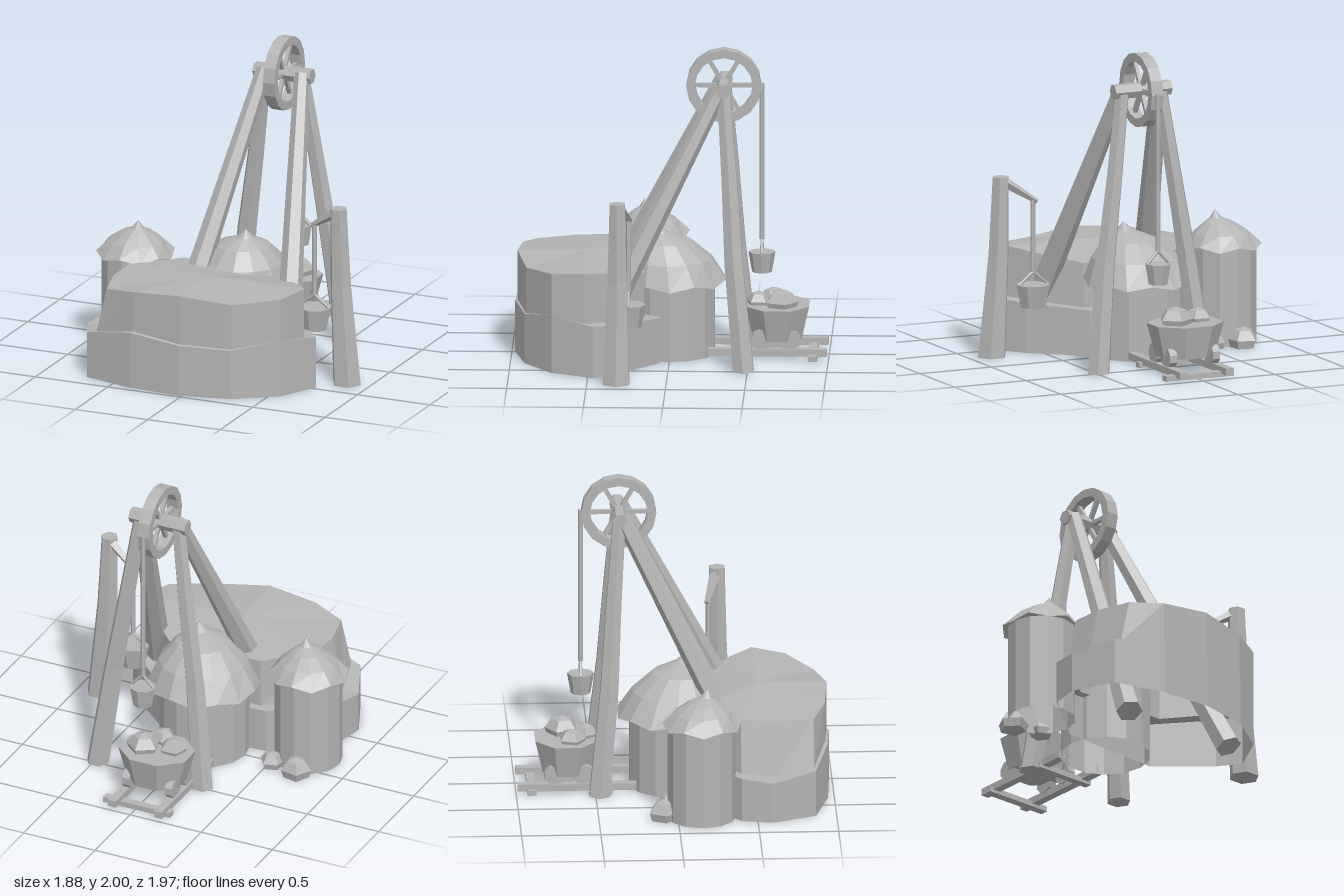
import * as THREE from 'three';

const stone = new THREE.MeshStandardMaterial({ color: 0xb4b4b4, flatShading: true, side: THREE.DoubleSide });
stone.name = 'plain grey';

const V = (x, y, z) => new THREE.Vector3(x, y, z);

// Joins rings of points, listed from bottom to top, into one faceted skin
function loft(rings, bottom = true, top = true) {
  const pos = [];
  const tri = (...p) => p.forEach(q => pos.push(q.x, q.y, q.z));
  const mid = r => r.reduce((s, p) => s.add(p), V(0, 0, 0)).divideScalar(r.length);
  const n = rings[0].length;
  for (let k = 0; k < rings.length - 1; k++) {
    const a = rings[k], b = rings[k + 1];
    for (let i = 0; i < n; i++) {
      const j = (i + 1) % n;
      tri(a[i], b[i], a[j]);
      tri(a[j], b[i], b[j]);
    }
  }
  const lo = rings[0], hi = rings[rings.length - 1];
  for (let i = 0; i < n; i++) {
    const j = (i + 1) % n;
    if (bottom) tri(mid(lo), lo[i], lo[j]);
    if (top) tri(mid(hi), hi[j], hi[i]);
  }
  const g = new THREE.BufferGeometry();
  g.setAttribute('position', new THREE.Float32BufferAttribute(pos, 3));
  g.computeVertexNormals();
  return g;
}

// Horizontal ring with n corners
function ring(x, y, z, r, n, turn = 0) {
  return Array.from({ length: n }, (_, i) => {
    const a = (i / n) * Math.PI * 2 + turn;
    return V(x + r * Math.cos(a), y, z + r * Math.sin(a));
  });
}

export function createModel() {
  const model = new THREE.Group();
  model.name = 'mine';

  const add = (name, geo, x = 0, y = 0, z = 0) => {
    const m = new THREE.Mesh(geo, stone);
    m.name = name;
    m.position.set(x, y, z);
    model.add(m);
    return m;
  };
  // Straight bar between two points
  const bar = (name, a, b, ra, rb = ra, sides = 6) => {
    const d = b.clone().sub(a);
    const m = add(name, new THREE.CylinderGeometry(rb, ra, d.length(), sides));
    m.position.copy(a).add(b).multiplyScalar(0.5);
    m.quaternion.setFromUnitVectors(V(0, 1, 0), d.normalize());
  };
  // Bent post through [x, y, z, radius] sections
  const post = (name, secs, n = 6) => add(name, loft(secs.map(s => ring(...s, n))));

  // Hollow cliff in two tiers with a narrow ledge; outlines are [x, z, rim height]
  const low = [[0.7, 0.47, 0.33], [0.57, 0.73, 0.37], [0.31, 0.91, 0.32], [-0.02, 0.98, 0.33],
    [-0.36, 0.96, 0.365], [-0.7, 0.87, 0.3], [-0.82, 0.6, 0.26], [-0.78, 0.4, 0.28],
    [-0.42, 0.1, 0.29], [0.28, 0.06, 0.29], [0.6, 0.33, 0.32]];
  const high = [[0.64, 0.52, 0.66], [0.57, 0.73, 0.64], [0.31, 0.9, 0.62], [-0.02, 0.965, 0.655],
    [-0.35, 0.94, 0.63], [-0.57, 0.86, 0.6], [-0.63, 0.62, 0.61], [-0.62, 0.4, 0.62],
    [-0.36, 0.14, 0.62], [0.28, 0.155, 0.58], [0.54, 0.38, 0.635]];
  const rimOf = outline => outline.map(([x, z, y]) => V(x, y, z));
  const flare = x => (x < -0.5 ? 0.07 : 0);
  const ledge = high.map(([x, z], i) => V(x - flare(x), low[i][2] + 0.005, z));
  add('lowerCliff', loft([low.map(([x, z]) => V(x, 0, z)), rimOf(low), ledge], false, false));
  add('upperCliff', loft([ledge, rimOf(high)], false, false));
  // Top surface fans out from a low crown
  const crown = V(-0.03, 0.66, 0.52);
  add('cliffTop', loft([rimOf(high), high.map(() => crown)], false, false));

  // Round open huts with crooked pointed roofs and notched eaves
  const hut = (name, x, z, wallR, wallTop, roof, n) => {
    add(name + 'Wall', loft([ring(x, 0, z, wallR, n), ring(x, wallTop, z, wallR, n)], false, false));
    const rings = roof.map(r => ring(...r, n));
    rings[0].forEach((p, i) => { p.y += (i % 2) * 0.03; });
    add(name + 'Roof', loft(rings, false, false));
  };
  hut('mainHut', -0.035, 0, 0.285, 0.52, [
    [-0.035, 0.46, -0.005, 0.355], [-0.015, 0.62, 0.015, 0.28],
    [0.0, 0.73, 0.04, 0.175], [0.03, 0.79, 0.065, 0.055], [0.04, 0.84, 0.075, 0.003]], 14);
  hut('sideHut', -0.69, 0.15, 0.215, 0.625, [
    [-0.69, 0.605, 0.15, 0.25], [-0.685, 0.7, 0.155, 0.18],
    [-0.675, 0.76, 0.165, 0.1], [-0.66, 0.79, 0.18, 0.04], [-0.655, 0.84, 0.185, 0.003]], 12);

  // Headframe legs, mirrored about its own middle
  const cx = 0.115, axleY = 1.765, axleZ = -0.34;
  for (const s of [-1, 1]) {
    bar('frontLeg', V(cx + s * 0.41, 0.04, 0.54), V(cx + s * 0.13, 1.78, axleZ + 0.01), 0.085, 0.05);
    post('backLeg', [[cx + s * 0.365, 0, -0.475, 0.075], [cx + s * 0.285, 0.68, -0.41, 0.065],
      [cx + s * 0.21, 1.2, -0.38, 0.055], [cx + s * 0.13, 1.78, axleZ, 0.045]]);
  }
  bar('axle', V(cx - 0.197, axleY, axleZ), V(cx + 0.197, axleY, axleZ), 0.05);

  // Winding wheel
  const rim = new THREE.Shape().absarc(0, 0, 0.237, 0, Math.PI * 2);
  rim.holes.push(new THREE.Path().absarc(0, 0, 0.182, 0, Math.PI * 2, true));
  const rimGeo = new THREE.ExtrudeGeometry(rim, { depth: 0.08, bevelEnabled: false, curveSegments: 8 });
  rimGeo.translate(0, 0, -0.04).rotateY(Math.PI / 2);
  add('wheelRim', rimGeo, cx, axleY, axleZ);
  for (let i = 0; i < 3; i++) {
    const spoke = add('wheelSpoke', new THREE.BoxGeometry(0.026, 0.026, 0.39), cx, axleY, axleZ);
    spoke.rotation.x = (i * Math.PI) / 3;
  }

  // Hanging buckets with two slanted handles
  const bucket = (x, y, z, r, h, ropeTop) => {
    add('bucket', new THREE.CylinderGeometry(r, r * 0.74, h, 8), x, y + h / 2, z);
    const knot = V(x, y + h + 0.08, z);
    bar('rope', knot, V(x, ropeTop, z), 0.016);
    for (const s of [-1, 1]) bar('bucketHandle', V(x + s * r * 0.9, y + h, z), knot, 0.01);
  };
  bucket(cx, 0.56, -0.58, 0.085, 0.13, 1.78);
  bucket(0.59, 0.31, 0.245, 0.11, 0.145, 1.0);

  // Small crane beside the cliff
  post('cranePost', [[0.845, 0, 0.315, 0.095], [0.8, 0.65, 0.31, 0.07], [0.785, 1.15, 0.31, 0.055]]);
  bar('craneArm', V(0.565, 0.985, 0.235), V(0.77, 1.12, 0.3), 0.016, 0.035, 4);

  // Rails and sleepers
  for (const x of [-0.19, 0.13]) add('rail', new THREE.BoxGeometry(0.055, 0.045, 0.75), x, 0.042, -0.615);
  add('sleeper', new THREE.BoxGeometry(0.47, 0.035, 0.055), -0.01, 0.018, -0.9);
  add('sleeper', new THREE.BoxGeometry(0.42, 0.035, 0.05), -0.03, 0.018, -0.42);

  // Ore cart
  const tub = new THREE.CylinderGeometry(0.24, 0.185, 0.21, 8);
  tub.rotateY(Math.PI / 8).scale(1.04, 1, 0.9);
  add('cartTub', tub, -0.03, 0.215, -0.675);
  for (const x of [-0.18, 0.12]) for (const z of [-0.755, -0.575]) {
    const w = new THREE.CylinderGeometry(0.068, 0.068, 0.05, 9).rotateZ(Math.PI / 2);
    add('cartWheel', w, x, 0.118, z);
  }

  // Faceted ore lumps: [x, base, z, radius, height, turn]
  const lumps = [[-0.13, 0.3, -0.645, 0.09, 0.1, 0.3], [0.05, 0.3, -0.7, 0.11, 0.13, 1],
    [-0.02, 0.3, -0.555, 0.08, 0.1, 1.9], [-0.72, 0, -0.09, 0.1, 0.13, 0.5], [-0.53, 0, -0.045, 0.08, 0.1, 1.3]];
  for (const [x, y, z, r, h, t] of lumps) {
    add('oreLump', loft([ring(x, y, z, r * 0.85, 5, t), ring(x, y + h * 0.4, z, r, 5, t),
      ring(x, y + h * 0.85, z, r * 0.6, 5, t), ring(x, y + h, z, r * 0.1, 5, t)]));
  }
  return model;
}
